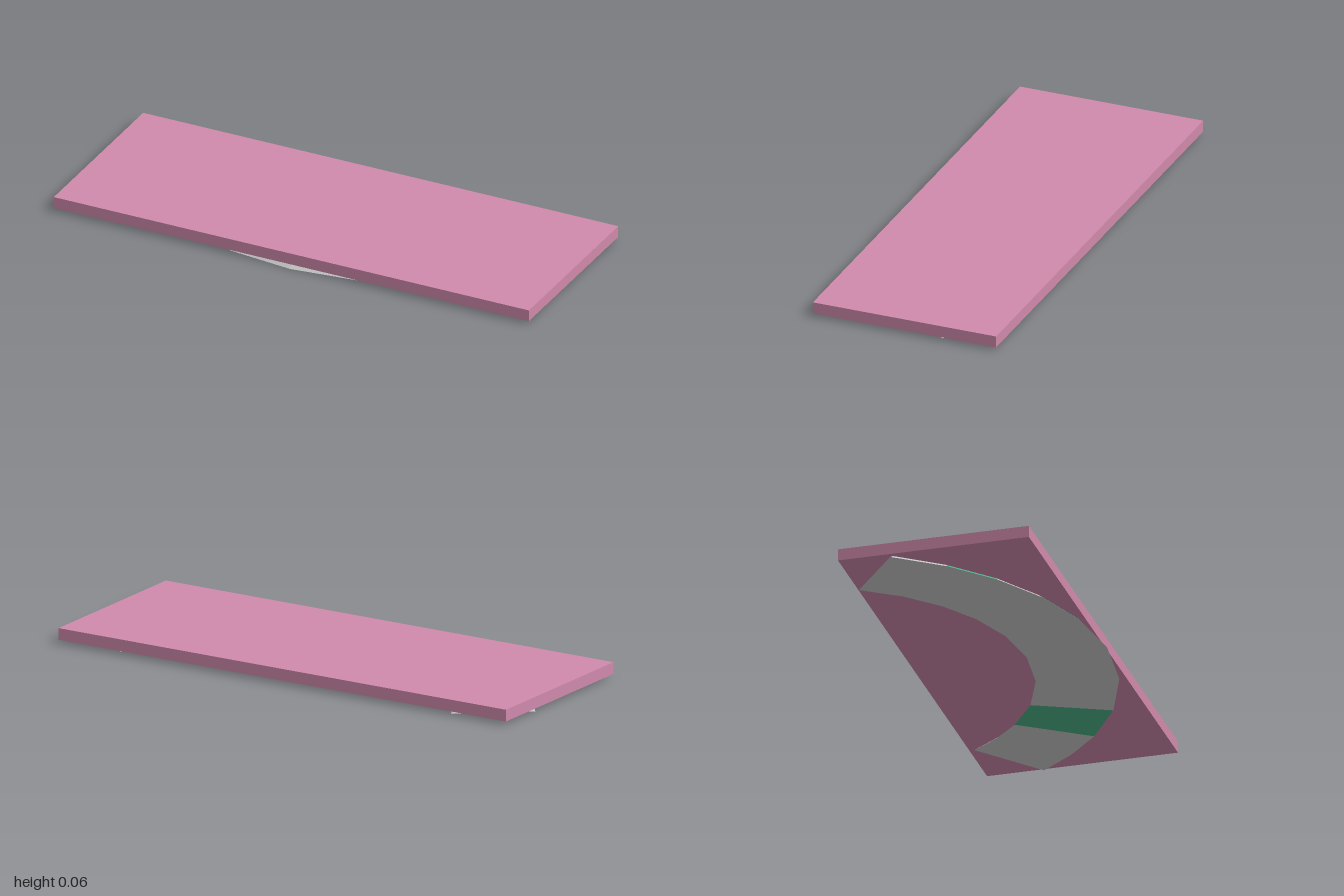
import * as THREE from 'three';

const SLAB_BOTTOM = 0.012, SLAB_TOP = 0.058;
const R_OUT = 1.175, R_IN = 0.86, CENTRE_Z = -0.793, BEVEL = 0.014;
// stations along the arc in degrees, from -x to +x
const ANGLES = [-58.3, -47, -36, -25, -13, 0, 14, 27.7, 39.5, 48.5, 57];

// point on the arc at a radius, angle and height
function arcPoint(r, deg, y) {
  const t = THREE.MathUtils.degToRad(deg);
  return [r * Math.sin(t), y, CENTRE_Z + r * Math.cos(t)];
}

// bevelled cross-section: outer bottom, outer top, inner top, inner bottom
function section(i) {
  const a = ANGLES[i];
  const inset = i === 0 ? 0.8 : i === ANGLES.length - 1 ? -0.8 : 0;
  return [
    arcPoint(R_OUT, a, 0),
    arcPoint(R_OUT - BEVEL, a + inset, SLAB_BOTTOM),
    arcPoint(R_IN + BEVEL, a * 1.04 + inset, SLAB_BOTTOM),
    arcPoint(R_IN, a * 1.04, 0),
  ];
}

// flat-faced mesh from a list of four-cornered faces
function quadMesh(name, quads, material) {
  const pos = quads.flatMap(([a, b, c, d]) => [a, b, c, a, c, d].flat());
  const geo = new THREE.BufferGeometry();
  geo.setAttribute('position', new THREE.Float32BufferAttribute(pos, 3));
  geo.computeVertexNormals();
  const mesh = new THREE.Mesh(geo, material);
  mesh.name = name;
  return mesh;
}

export function createModel() {
  const model = new THREE.Group();
  model.name = 'slabOnCurvedBase';

  const pink = new THREE.MeshStandardMaterial({ color: 0xd08aac });
  const grey = new THREE.MeshStandardMaterial({ color: 0xcccccc });
  const green = new THREE.MeshStandardMaterial({ color: 0x4fb58a });

  // rectangular slab
  const slab = new THREE.Mesh(new THREE.BoxGeometry(2, SLAB_TOP - SLAB_BOTTOM, 0.748), pink);
  slab.name = 'slab';
  slab.position.set(0, (SLAB_TOP + SLAB_BOTTOM) / 2, -0.006);
  model.add(slab);

  // thin curved strip under the slab, with a few green faces
  const strip = new THREE.Group();
  strip.name = 'curvedStrip';
  const greyFaces = [], greenFaces = [];
  const greenWalls = [1, 3, 6, 7];
  const last = ANGLES.length - 1;
  for (let i = 0; i < last; i++) {
    const p = section(i), q = section(i + 1);
    for (let k = 0; k < 4; k++) {
      const n = (k + 1) % 4;
      const isGreen = (k === 0 && greenWalls.includes(i)) || (k === 3 && i === 7);
      (isGreen ? greenFaces : greyFaces).push([p[k], q[k], q[n], p[n]]);
    }
  }
  // end caps
  greyFaces.push(section(0), section(last).reverse());
  strip.add(quadMesh('stripBody', greyFaces, grey), quadMesh('stripGreenFaces', greenFaces, green));
  model.add(strip);

  return model;
}
